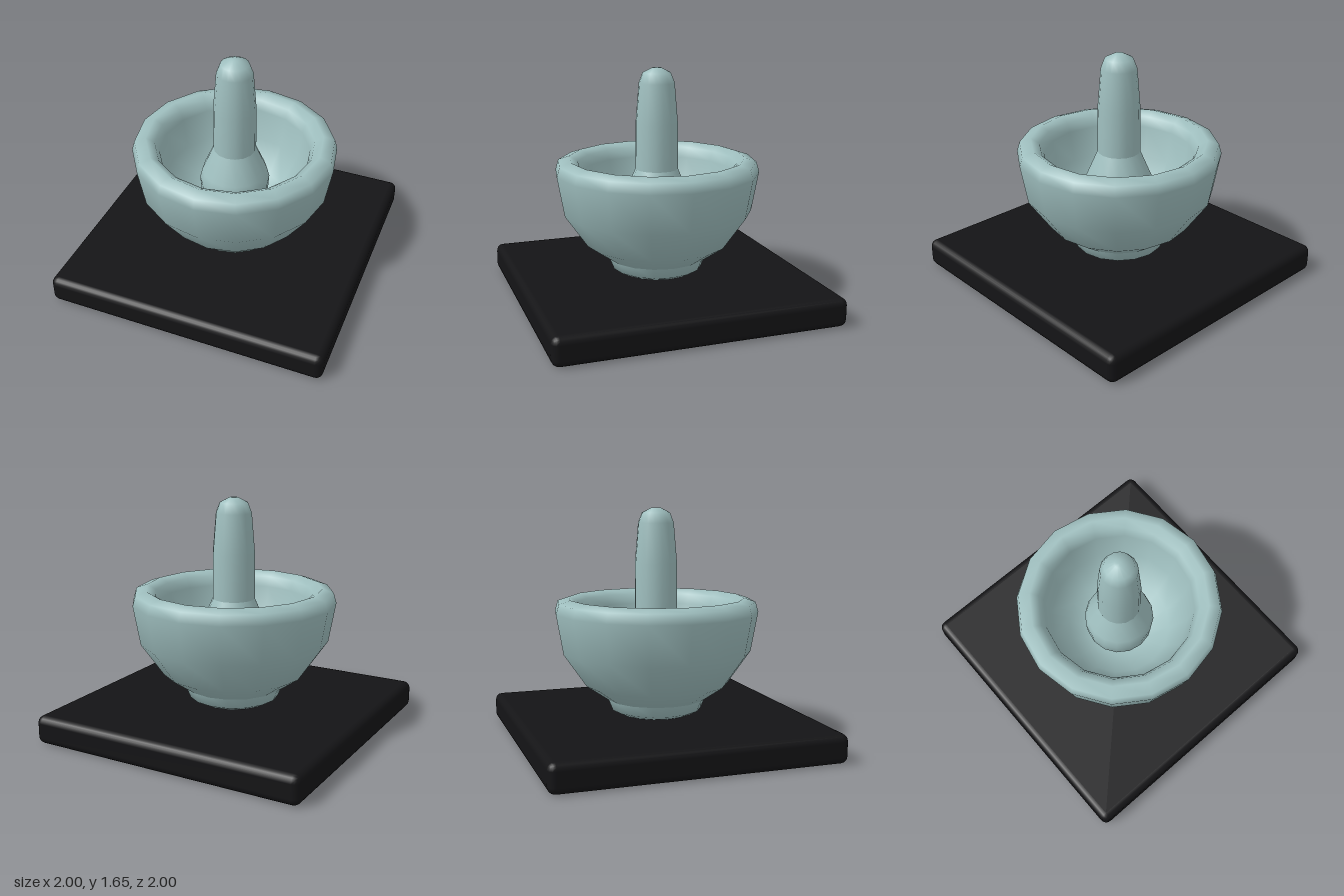
import * as THREE from 'three';
import { RoundedBoxGeometry } from 'three/addons/geometries/RoundedBoxGeometry.js';

const stone = new THREE.MeshStandardMaterial({ color: 0x9fbfbf });
const slate = new THREE.MeshStandardMaterial({ color: 0x141416 });

// Turned part from [radius, height] pairs, ordered bottom to top on the outside
function turned(name, profile) {
  const points = profile.map(([r, y]) => new THREE.Vector2(r, y));
  const mesh = new THREE.Mesh(new THREE.LatheGeometry(points, 16), stone);
  mesh.name = name;
  return mesh;
}

export function createModel() {
  const model = new THREE.Group();
  model.name = 'mortarAndPestle';

  // Square slab with softened edges
  const base = new THREE.Mesh(new RoundedBoxGeometry(2, 0.2, 2, 2, 0.05), slate);
  base.name = 'base';
  base.position.y = 0.1;
  model.add(base);

  // Mortar: foot ring, then bowl wall over the rim and down to the inner floor
  const mortar = new THREE.Group();
  mortar.name = 'mortar';
  mortar.add(
    turned('foot', [[0, 0.205], [0.26, 0.205], [0.32, 0.235], [0.35, 0.31]]),
    turned('bowl', [
      [0.35, 0.31], [0.51, 0.42], [0.67, 0.65], [0.72, 0.93], [0.7, 1.0], [0.62, 1.027],
      [0.56, 0.99], [0.53, 0.92], [0.49, 0.7], [0.37, 0.5], [0.2, 0.41], [0, 0.39],
    ]),
  );
  model.add(mortar);

  // Pestle: wide grinding head, flared shoulder, tapered handle with a domed end
  const pestle = new THREE.Group();
  pestle.name = 'pestle';
  pestle.add(
    turned('head', [
      [0, 0.4], [0.12, 0.42], [0.2, 0.48], [0.24, 0.57], [0.248, 0.69], [0.23, 0.76], [0.15, 0.945],
    ]),
    turned('handle', [
      [0.15, 0.945], [0.148, 1.27], [0.125, 1.55], [0.098, 1.62], [0.03, 1.655], [0, 1.655],
    ]),
  );
  model.add(pestle);

  return model;
}
